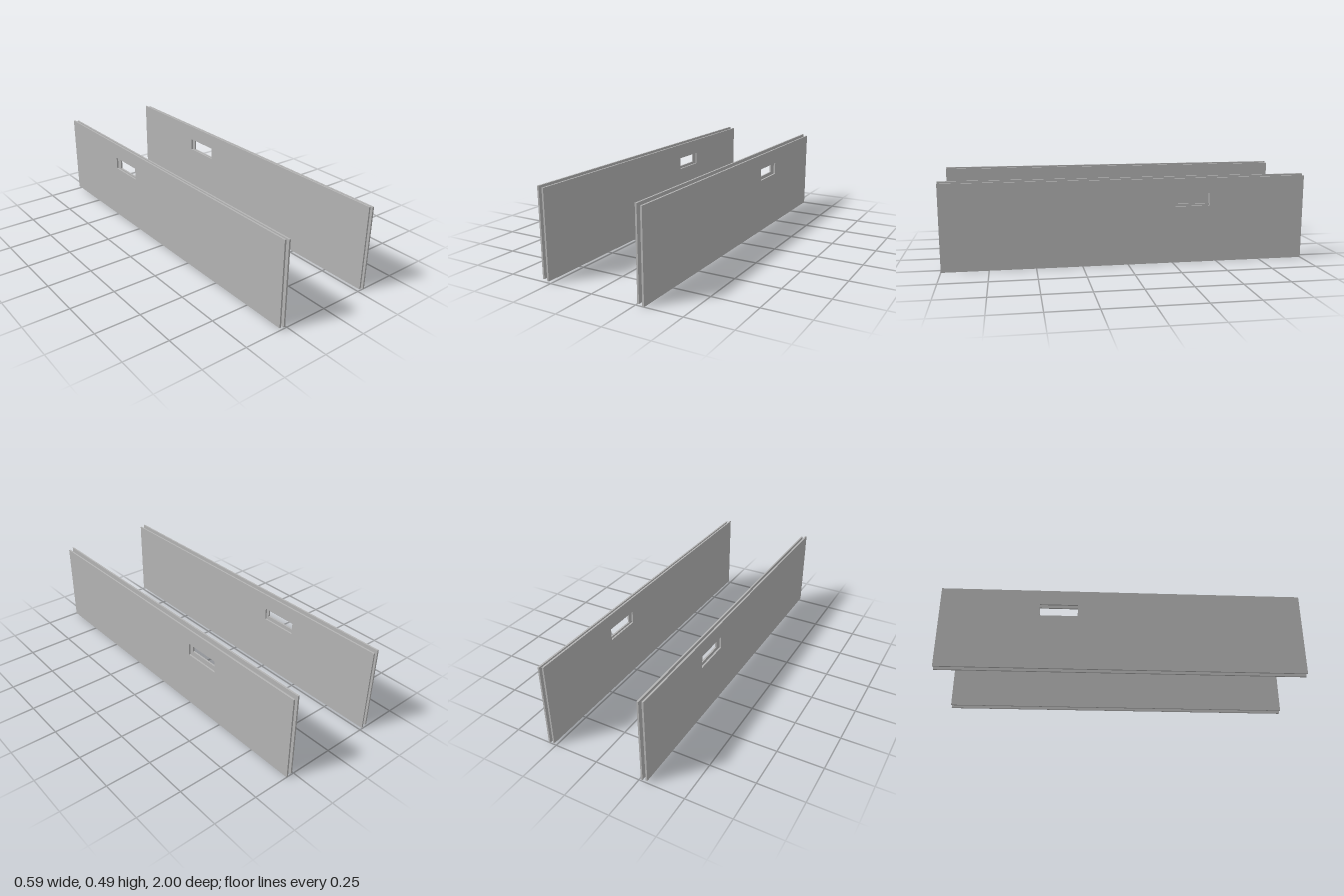
import * as THREE from 'three';

const THICKNESS = 0.0095, HEIGHT = 0.471;

// Long upright board with a rectangular hand hole, profile drawn in z and y
function boardGeometry() {
  const shape = new THREE.Shape();
  shape.moveTo(-1, 0).lineTo(1, 0).lineTo(1, HEIGHT).lineTo(-1, HEIGHT).closePath();
  const hole = new THREE.Path();
  hole.moveTo(-0.456, 0.316).lineTo(-0.456, 0.385).lineTo(-0.246, 0.385).lineTo(-0.246, 0.316).closePath();
  shape.holes.push(hole);
  const geometry = new THREE.ExtrudeGeometry(shape, { depth: THICKNESS, bevelEnabled: false });
  geometry.translate(0, 0, -THICKNESS / 2);
  geometry.rotateY(-Math.PI / 2);
  return geometry;
}

export function createModel() {
  const model = new THREE.Group();
  model.name = 'sidePanels';
  const grey = new THREE.MeshStandardMaterial({ color: 0xb4b4b4 });
  grey.name = 'light grey';
  const geometry = boardGeometry();

  // Two pairs of boards, each at its own x and base height
  const boards = [
    ['rightOuterPanel', -0.293, 0.015],
    ['rightInnerPanel', -0.266, 0.008],
    ['leftInnerPanel', 0.265, 0.0085],
    ['leftOuterPanel', 0.292, 0],
  ];
  for (const [name, x, y] of boards) {
    const board = new THREE.Mesh(geometry, grey);
    board.name = name;
    board.position.set(x, y, 0);
    model.add(board);
  }
  return model;
}
